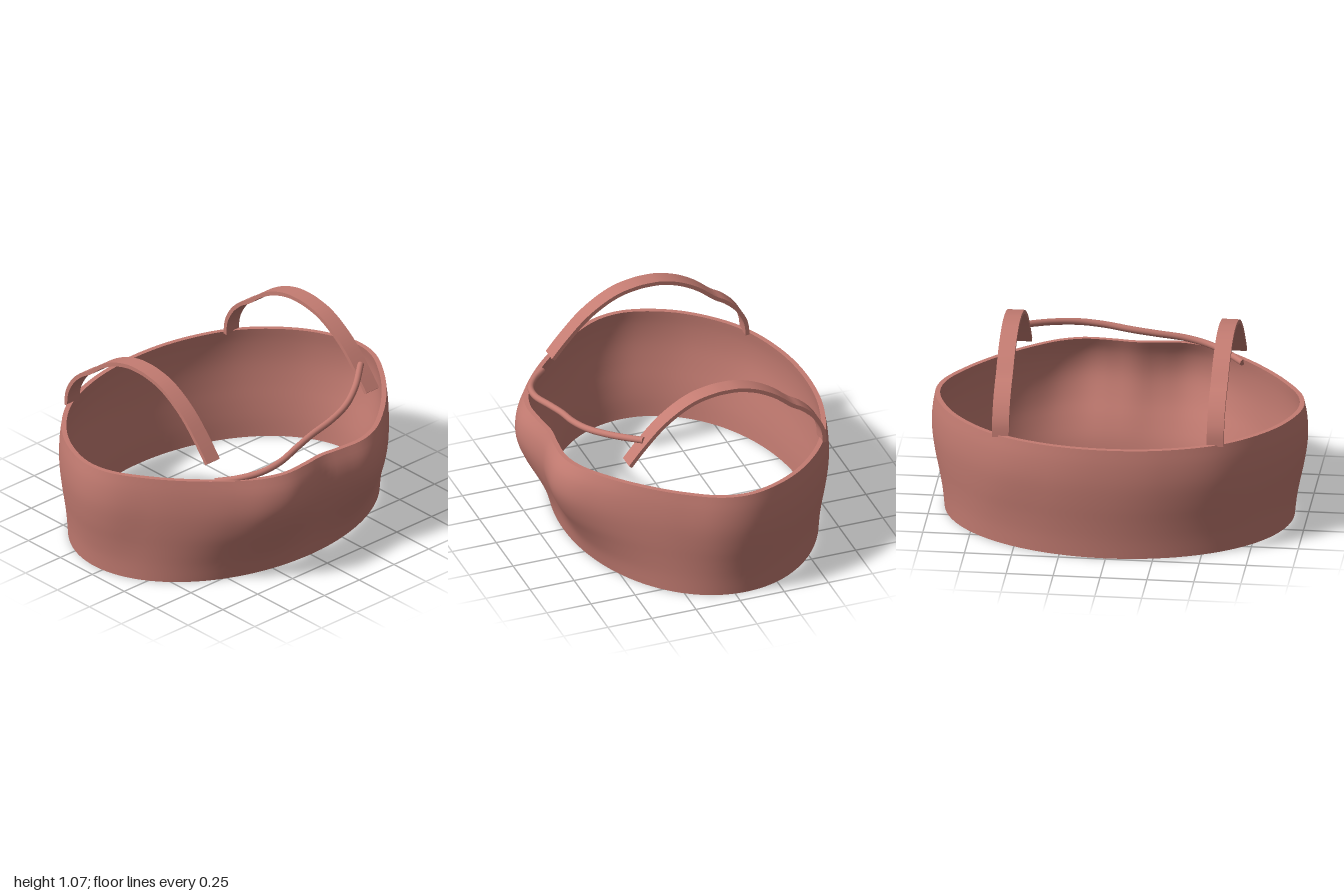
import * as THREE from 'three';
import { toCreasedNormals } from 'three/addons/utils/BufferGeometryUtils.js';

const material = new THREE.MeshStandardMaterial({ color: 0xc47c72 });

function addMesh(group, name, geometry) {
  const mesh = new THREE.Mesh(geometry, material);
  mesh.name = name;
  group.add(mesh);
  return mesh;
}

// Widest plan outline of the band, [x, z] from back centre to front centre
const HALF_OUTLINE = [
  [0, -0.785], [0.3, -0.755], [0.6, -0.645], [0.85, -0.42], [0.97, -0.2], [1, -0.05], [0.97, 0.1],
  [0.85, 0.29], [0.7, 0.47], [0.55, 0.62], [0.4, 0.737], [0.27, 0.78], [0.12, 0.765], [0, 0.745],
];

// Side profile: [bulge from the bottom ellipse (0) to the widest outline (1), height]
const PROFILE = [[0, 0], [0.16, 0.1], [0.42, 0.2], [0.72, 0.3], [0.94, 0.4], [1, 0.48], [0.93, 0.56], [0.74, 0.635]];

function bandGeometry() {
  const mirrored = HALF_OUTLINE.slice(1, -1).reverse().map(([x, z]) => [-x, z]);
  const outline = new THREE.CatmullRomCurve3(
    [...HALF_OUTLINE, ...mirrored].map(([x, z]) => new THREE.Vector3(x, 0, z)), true);
  const N = 160;
  const wide = outline.getSpacedPoints(N).slice(0, N);
  const base = wide.map((p) => {
    const a = Math.atan2(p.z + 0.06, p.x);
    return new THREE.Vector3(0.93 * Math.cos(a), 0, -0.06 + 0.68 * Math.sin(a));
  });

  // Rows run up the outside, over the rim and down the inside
  const wall = new THREE.SplineCurve(PROFILE.map((p) => new THREE.Vector2(...p))).getPoints(24);
  const rows = [
    ...wall.map((p) => ({ w: p.x, y: p.y, inset: 0 })),
    ...wall.slice().reverse().map((p) => ({ w: p.x, y: p.y, inset: 0.016 + 0.01 * p.y / 0.635 })),
  ];

  const positions = [];
  const index = [];
  rows.forEach(({ w, y, inset }, i) => {
    const ring = base.map((b, j) => b.clone().lerp(wide[j], w));
    ring.forEach((p, j) => {
      const t = ring[(j + 1) % N].clone().sub(ring[(j + N - 1) % N]).normalize();
      positions.push(p.x - t.z * inset, y, p.z + t.x * inset);
      const k = (j + 1) % N;
      const next = (i + 1) % rows.length;
      const a = i * N + j, b = next * N + j, c = i * N + k, d = next * N + k;
      index.push(a, b, c, b, d, c);
    });
  });
  const geometry = new THREE.BufferGeometry();
  geometry.setAttribute('position', new THREE.Float32BufferAttribute(positions, 3));
  geometry.setIndex(index);
  return toCreasedNormals(geometry, 0.7);
}

// Flat ribbon following a side-on [z, y] path
function strapGeometry() {
  const path = new THREE.SplineCurve([
    [0.475, 0.715], [0.4, 0.805], [0.3, 0.91], [0.2, 0.985], [0.1, 1.035], [0, 1.057], [-0.07, 1.061],
    [-0.15, 1.055], [-0.25, 1.025], [-0.35, 0.97], [-0.44, 0.897], [-0.5, 0.86], [-0.56, 0.805],
    [-0.6, 0.745], [-0.62, 0.69], [-0.626, 0.625],
  ].map((p) => new THREE.Vector2(...p)));
  const steps = 64, half = 0.011;
  const side = (s) => Array.from({ length: steps + 1 }, (_, i) => {
    const p = path.getPoint(i / steps);
    const t = path.getTangent(i / steps);
    return new THREE.Vector2(p.x - t.y * half * s, p.y + t.x * half * s);
  });
  const shape = new THREE.Shape([...side(1), ...side(-1).reverse()]);
  const geometry = new THREE.ExtrudeGeometry(shape, { depth: 0.09, bevelEnabled: false });
  geometry.translate(0, 0, -0.045);
  geometry.rotateY(-Math.PI / 2);
  return toCreasedNormals(geometry, 0.6);
}

export function createModel() {
  const group = new THREE.Group();
  group.name = 'bandTop';

  addMesh(group, 'band', bandGeometry());

  // Shoulder straps
  const strap = strapGeometry();
  addMesh(group, 'leftStrap', strap).position.x = 0.572;
  addMesh(group, 'rightStrap', strap).position.x = -0.572;

  // Slanted front cord, rising steadily to the left
  const cordPath = new THREE.CatmullRomCurve3([
    [-0.59, 0.515], [-0.5, 0.595], [-0.39, 0.655], [-0.27, 0.672], [-0.12, 0.648], [0, 0.63],
    [0.15, 0.62], [0.28, 0.588], [0.42, 0.51], [0.575, 0.385],
  ].map(([x, z]) => new THREE.Vector3(x, 0.73 + 0.187 * x, z)));
  const cordRadius = 0.018;
  addMesh(group, 'frontCord', new THREE.TubeGeometry(cordPath, 80, cordRadius, 14));

  // Flat caps on the cord ends
  for (const [name, t, sign] of [['cordCapRight', 0, -1], ['cordCapLeft', 1, 1]]) {
    const cap = addMesh(group, name, new THREE.CircleGeometry(cordRadius, 14));
    cap.position.copy(cordPath.getPoint(t));
    cap.quaternion.setFromUnitVectors(
      new THREE.Vector3(0, 0, 1), cordPath.getTangent(t).multiplyScalar(sign));
  }
  return group;
}
